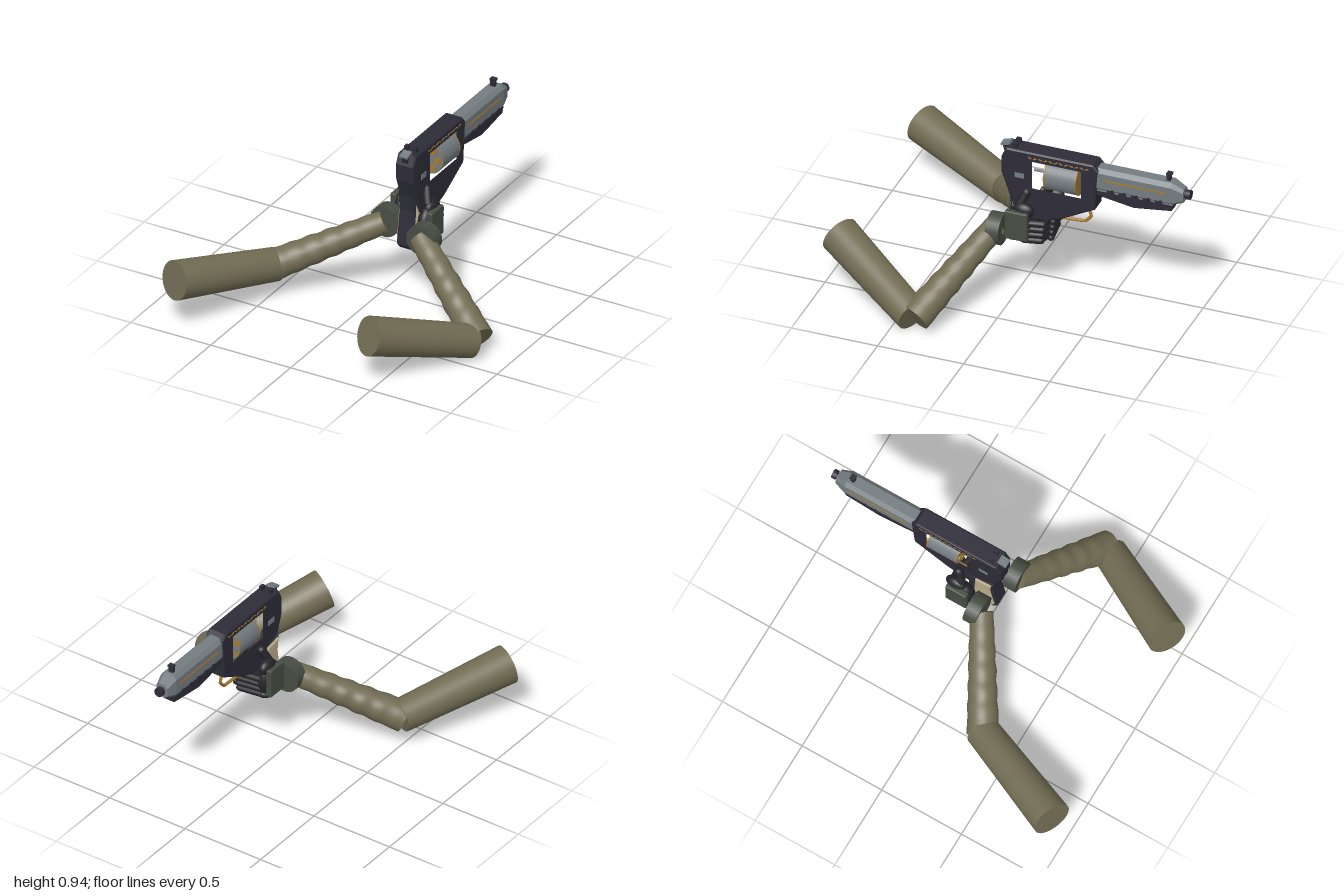
import * as THREE from 'three';
import { RoundedBoxGeometry } from 'three/addons/geometries/RoundedBoxGeometry.js';

const mat = (name, color) => new THREE.MeshStandardMaterial({ name, color });
const V = (x, y, z) => new THREE.Vector3(x, y, z);
const UP = V(0, 1, 0);

export function createModel() {
  const root = new THREE.Group();
  root.name = 'armsWithRevolver';
  const sleeve = mat('oliveSleeve', 0x716c53);
  const cuff = mat('darkGreenCuff', 0x474d43);
  const glove = mat('blackGlove', 0x25252b);
  const frameMat = mat('darkFrame', 0x2d2c38);
  const steel = mat('greySteel', 0x747c80);
  const brass = mat('brass', 0xa87a2c);
  const cream = mat('creamGrip', 0xb8aa88);

  const add = (parent, name, geo, material, x = 0, y = 0, z = 0) => {
    const m = new THREE.Mesh(geo, material);
    m.name = name;
    m.position.set(x, y, z);
    parent.add(m);
    return m;
  };
  const box = (p, name, m, w, h, d, x, y, z) => add(p, name, new THREE.BoxGeometry(w, h, d), m, x, y, z);

  // Places a y-aligned geometry between two points
  const between = (p, name, geo, m, a, b) => {
    const c = a.clone().add(b).multiplyScalar(0.5);
    const mesh = add(p, name, geo, m, c.x, c.y, c.z);
    mesh.quaternion.setFromUnitVectors(UP, b.clone().sub(a).normalize());
    return mesh;
  };
  const finger = (p, name, a, b, r) =>
    between(p, name, new THREE.CapsuleGeometry(r, a.distanceTo(b), 6, 14), glove, a, b);

  // Sleeve tube from a to b, with optional cloth folds
  const limb = (p, name, a, b, ra, rb, fold) => {
    const len = a.distanceTo(b);
    const geo = new THREE.CylinderGeometry(rb, ra, len, 32, fold ? 36 : 1);
    const pos = geo.attributes.position;
    if (fold) {
      for (let i = 0; i < pos.count; i++) {
        const x = pos.getX(i), y = pos.getY(i), z = pos.getZ(i);
        const t = y / len + 0.5, ang = Math.atan2(z, x);
        const k = 1 + fold * Math.sin(t * 38 + 0.9 * Math.sin(ang)) * Math.sin(Math.PI * t);
        pos.setX(i, x * k);
        pos.setZ(i, z * k);
      }
      // Cap vertices follow their edge, so only the side normals change
      const n = geo.attributes.normal;
      const soft = geo.clone();
      soft.computeVertexNormals();
      for (let i = 0; i < n.count; i++) {
        const seam = Math.abs(pos.getZ(i)) < 1e-5 || Math.abs(pos.getX(i)) < 1e-5;
        if (Math.abs(n.getY(i)) < 0.9 && !seam) n.copyAt(i, soft.attributes.normal, i);
      }
    }
    between(p, name, geo, sleeve, a, b);
  };

  // Side profile [z, y] extruded across x
  const profile = (pts, width, hole) => {
    const vec = (list) => list.map(([z, y]) => new THREE.Vector2(-z, y));
    const s = new THREE.Shape(vec(pts));
    if (hole) s.holes.push(new THREE.Path(vec(hole)));
    const bev = 0.008;
    const g = new THREE.ExtrudeGeometry(s, {
      depth: width - 2 * bev, bevelEnabled: true, bevelSize: bev, bevelOffset: -bev,
      bevelThickness: bev, bevelSegments: 1,
    });
    g.translate(0, 0, bev - width / 2);
    return g.rotateY(Math.PI / 2);
  };

  // Chamfered bar lofted along -z through sections [z, halfWidth, bottom, top, chamfer]
  const loft = (sections) => {
    const rings = sections.map(([z, w, b, t, c]) => [
      V(w, b + c, z), V(w, t - c, z), V(w - c, t, z), V(c - w, t, z),
      V(-w, t - c, z), V(-w, b + c, z), V(c - w, b, z), V(w - c, b, z)]);
    const out = [];
    const tri = (...v) => v.forEach((q) => out.push(q.x, q.y, q.z));
    for (let s = 0; s + 1 < rings.length; s++) for (let i = 0; i < 8; i++) {
      const j = (i + 1) % 8, A = rings[s], B = rings[s + 1];
      tri(A[i], B[i], B[j]);
      tri(A[i], B[j], A[j]);
    }
    const F = rings[0], L = rings[rings.length - 1];
    for (let i = 1; i < 7; i++) {
      tri(F[0], F[i], F[i + 1]);
      tri(L[0], L[i + 1], L[i]);
    }
    const g = new THREE.BufferGeometry();
    g.setAttribute('position', new THREE.Float32BufferAttribute(out, 3));
    g.computeVertexNormals();
    return g;
  };

  // ---- Revolver ----
  const gun = new THREE.Group();
  gun.name = 'revolver';
  gun.position.x = 0.178;
  root.add(gun);

  add(gun, 'frame', profile(
    [[0.055, 0.925], [-0.45, 0.925], [-0.48, 0.89], [-0.46, 0.645], [-0.26, 0.54], [-0.19, 0.515],
      [-0.08, 0.5], [0.01, 0.56], [0.045, 0.66], [0.083, 0.77], [0.083, 0.865]], 0.112,
    [[-0.09, 0.88], [-0.39, 0.88], [-0.39, 0.695], [-0.09, 0.695]]), frameMat);
  add(gun, 'grip', profile(
    [[0.045, 0.66], [-0.12, 0.6], [-0.115, 0.46], [-0.1, 0.345], [0.04, 0.33], [0.065, 0.36], [0.035, 0.56]],
    0.1), frameMat, -0.012);
  for (const s of [-1, 1])
    add(gun, 'gripPanel', profile(
      [[0.03, 0.64], [-0.07, 0.62], [-0.08, 0.38], [0.03, 0.355], [0.05, 0.38], [0.022, 0.56]], 0.018),
      cream, -0.012 + s * 0.051);

  // Cylinder with brass rims and cartridges
  const drum = (name, m, r, len, x, y, z, seg = 32) =>
    add(gun, name, new THREE.CylinderGeometry(r, r, len, seg).rotateX(Math.PI / 2), m, x, y, z);
  drum('cylinder', steel, 0.09, 0.19, 0, 0.789, -0.268);
  drum('cylinderRearRim', brass, 0.0915, 0.007, 0, 0.789, -0.178);
  drum('cylinderFrontRim', brass, 0.0915, 0.006, 0, 0.789, -0.36);
  drum('axle', steel, 0.008, 0.3, 0, 0.789, -0.24, 12);
  for (let i = 0; i < 6; i++) {
    const a = (i * Math.PI) / 3;
    drum('cartridge', brass, 0.02, 0.008, Math.cos(a) * 0.057, 0.789 + Math.sin(a) * 0.057, -0.17, 16);
  }

  // Barrel and underbarrel
  add(gun, 'barrel', loft([[-0.46, 0.051, 0.765, 0.904, 0.022], [-0.9, 0.051, 0.765, 0.904, 0.022],
    [-0.965, 0.036, 0.79, 0.87, 0.016]]), steel);
  add(gun, 'underbarrel', profile(
    [[-0.46, 0.775], [-0.915, 0.775], [-0.9, 0.73], [-0.68, 0.7], [-0.46, 0.735]], 0.088), frameMat);
  drum('muzzleNeck', frameMat, 0.02, 0.04, 0, 0.834, -0.97, 16);
  drum('muzzle', frameMat, 0.027, 0.025, 0, 0.834, -0.987, 16);
  for (const s of [-1, 1]) {
    box(gun, 'barrelInlay', brass, 0.006, 0.008, 0.36, s * 0.051, 0.843, -0.69);
    for (let i = 0; i < 5; i++)
      box(gun, 'railNotch', frameMat, 0.008, 0.02, 0.04, s * 0.049, 0.778, -0.55 - i * 0.07).rotation.x = 0.3;
    for (let i = 0; i < 12; i++)
      box(gun, 'frameInlay', brass, 0.004, 0.007, 0.022, s * 0.0565, 0.894, -0.085 - i * 0.03).rotation.x = i % 2 ? 0.4 : -0.4;
    box(gun, 'sidePlate', steel, 0.005, 0.03, 0.055, s * 0.0565, 0.77, -0.025);
  }

  // Sights and hammer
  box(gun, 'frontSight', frameMat, 0.028, 0.045, 0.022, 0, 0.92, -0.872);
  box(gun, 'frontSightTop', frameMat, 0.034, 0.012, 0.03, 0, 0.943, -0.875);
  for (const s of [-1, 1]) box(gun, 'rearSight', frameMat, 0.02, 0.04, 0.028, s * 0.027, 0.933, 0.01);
  box(gun, 'hammer', frameMat, 0.036, 0.05, 0.02, 0, 0.9, 0.072).rotation.x = 0.3;
  box(gun, 'hammerSpur', steel, 0.05, 0.012, 0.055, 0, 0.93, 0.07).rotation.x = 0.3;

  // Trigger and guard
  const guard = new THREE.CatmullRomCurve3(
    [V(0, 0.63, -0.4), V(0, 0.57, -0.42), V(0, 0.53, -0.385), V(0, 0.524, -0.3), V(0, 0.525, -0.16)],
    false, 'catmullrom', 0.2);
  add(gun, 'triggerGuard', new THREE.TubeGeometry(guard, 32, 0.009, 8), brass);
  box(gun, 'trigger', brass, 0.016, 0.06, 0.014, 0, 0.55, -0.25).rotation.x = 0.3;

  // ---- Arms and hands ----
  const arm = (name, s, shoulder, elbow, foreEnd, wrist, cuffAt, plateAt) => {
    const g = new THREE.Group();
    g.name = name;
    root.add(g);
    limb(g, 'upperSleeve', shoulder, elbow, 0.111, 0.094, 0);
    limb(g, 'forearmSleeve', foreEnd, wrist, 0.088, 0.064, 0.045);
    add(g, 'cuff', new THREE.CylinderGeometry(0.09, 0.09, 0.078, 24).rotateX(Math.PI / 2), cuff,
      cuffAt.x, cuffAt.y, cuffAt.z);
    add(g, 'handPlate', new RoundedBoxGeometry(0.035, 0.175, 0.13, 2, 0.008), cuff, plateAt.x, plateAt.y, plateAt.z);
    // Palm, curled fingers and thumb
    const { x, z } = plateAt;
    add(g, 'palm', new THREE.SphereGeometry(1, 24, 16), glove, x - s * 0.04, 0.485, z + 0.005)
      .scale.set(0.05, 0.105, 0.085);
    for (let i = 0; i < 4; i++) {
      const y = 0.502 - i * 0.035;
      const zf = Math.max(z - 0.16, -0.215) + i * 0.004;
      const knuckle = V(x - s * 0.045, y, zf + 0.025);
      finger(g, 'fingerBase', V(x - s * 0.025, y, z - 0.03), knuckle, 0.02);
      finger(g, 'fingerTip', knuckle, V(0.178 - s * 0.03, y, zf + 0.005), 0.018);
    }
    add(g, 'knuckle', new THREE.SphereGeometry(1, 20, 14), glove, x - s * 0.035, 0.575, z - 0.025)
      .scale.set(0.034, 0.045, 0.062);
    finger(g, 'thumb', V(x - s * 0.045, 0.6, z), V(x - s * 0.07, 0.67, z - 0.03), 0.025);
  };
  arm('leftArm', 1, V(0.45, 0.3, 0.935), V(0.775, 0.098, 0.385), V(0.8, 0.105, 0.36), V(0.285, 0.455, 0.09),
    V(0.3, 0.45, 0.08), V(0.302, 0.492, -0.035));
  arm('rightArm', -1, V(-0.767, 0.3, 0.93), V(-0.485, 0.19, 0.325), V(-0.5, 0.185, 0.34), V(0.02, 0.45, 0.025),
    V(0.022, 0.45, -0.005), V(0.02, 0.492, -0.13));

  return root;
}
